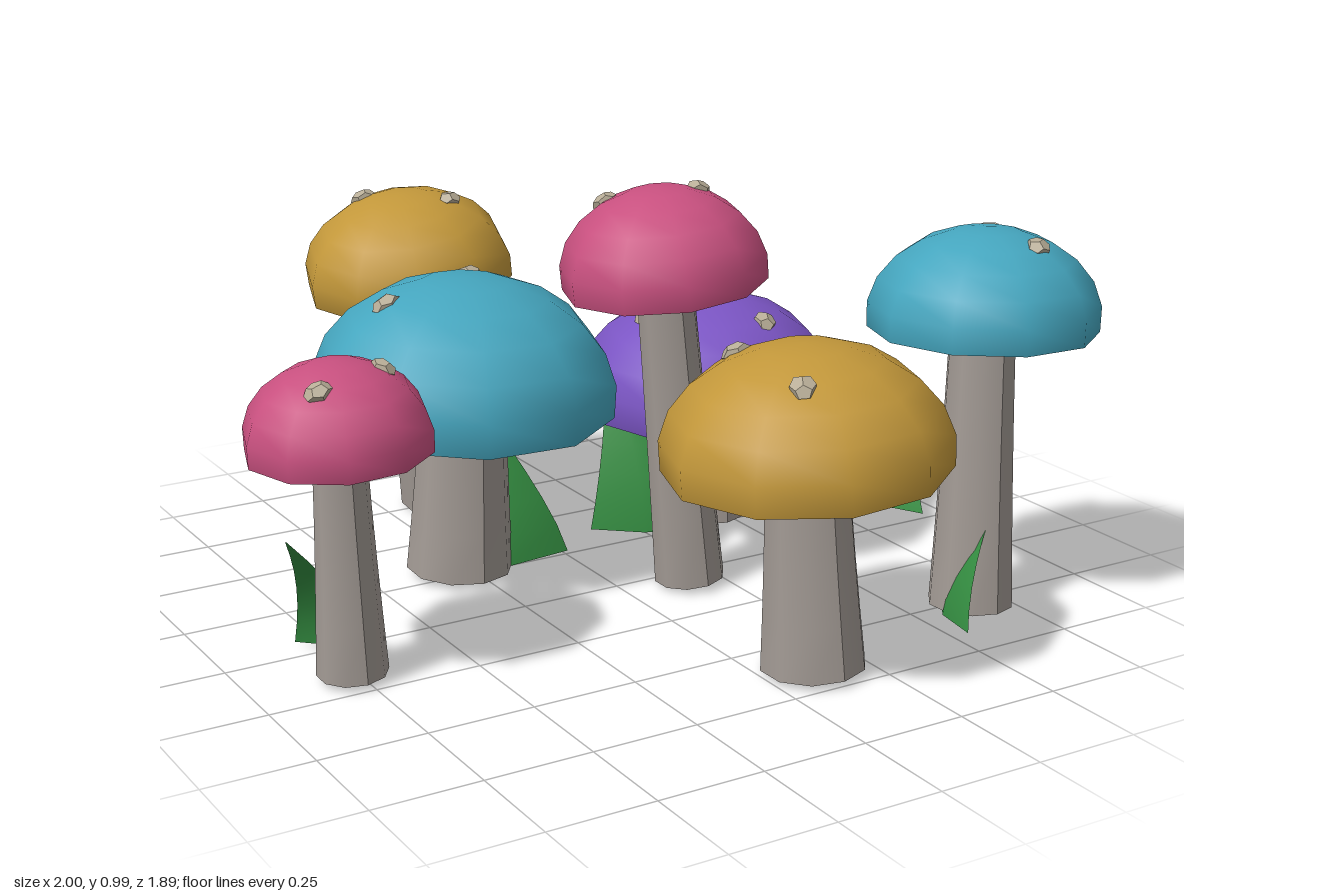
import * as THREE from 'three';

const UP = new THREE.Vector3(0, 1, 0);
const mat = (color, extra = {}) => new THREE.MeshStandardMaterial({ color, ...extra });
const both = { side: THREE.DoubleSide };
const pink = mat(0xc8507f, both), teal = mat(0x45a6bf, both);
const gold = mat(0xc2973a, both), purple = mat(0x7b55c4, both);
const stemMat = mat(0xa39b95);
const spotMat = mat(0xb8ad97, { flatShading: true });
const leafMat = mat(0x358f42, both);

function add(parent, name, geometry, material) {
  const mesh = new THREE.Mesh(geometry, material);
  mesh.name = name;
  parent.add(mesh);
  return mesh;
}

// Stem that flares towards the ground
function stemGeometry(rTop, rBase, height) {
  const g = new THREE.CylinderGeometry(1, 1, height, 10, 5);
  g.translate(0, height / 2, 0);
  const p = g.attributes.position;
  for (let i = 0; i < p.count; i++) {
    const t = THREE.MathUtils.clamp(p.getY(i) / height, 0, 1);
    const r = rTop + (rBase - rTop) * Math.pow(1 - t, 1.5);
    p.setX(i, p.getX(i) * r);
    p.setZ(i, p.getZ(i) * r);
  }
  g.computeVertexNormals();
  return g;
}

// base: [x, z] on the ground, cap: [x, z], top: highest point, r and h: cap radius and dome height
function mushroom({ base, cap, top, r, h, rTop, rBase, color, spots }) {
  const group = new THREE.Group();
  group.name = 'mushroom';
  const foot = new THREE.Vector3(base[0], 0.015, base[1]);
  const axis = new THREE.Vector3(cap[0], top - h, cap[1]).sub(foot);
  const length = axis.length();
  group.position.copy(foot);
  group.quaternion.setFromUnitVectors(UP, axis.normalize());

  add(group, 'stem', stemGeometry(rTop, rBase, length + h * 0.5), stemMat);

  // Hollow dome with a slightly tucked-in rim
  const dome = new THREE.SphereGeometry(1, 10, 6, 0, Math.PI * 2, 0, Math.PI * 0.55);
  dome.scale(r, h, r);
  add(group, 'cap', dome, color).position.y = length;

  // Flat pebble-like spots lying on the dome
  spots.forEach(([sx, sz], i) => {
    const x = sx - cap[0], z = sz - cap[1];
    const y = h * Math.sqrt(Math.max(0, 1 - (x * x + z * z) / (r * r)));
    const size = 0.024 + r * 0.035;
    const spot = add(group, 'spot', new THREE.DodecahedronGeometry(size), spotMat);
    spot.scale.set(1, 0.6, 0.85);
    spot.position.set(x * 0.98, length + y * 0.98, z * 0.98);
    const normal = new THREE.Vector3(x / (r * r), y / (h * h), z / (r * r)).normalize();
    spot.quaternion.setFromUnitVectors(UP, normal);
    spot.rotateY(i * 1.3 + r * 9);
  });
  return group;
}

// Creased blade: two ground corners [x, z] and a tip [x, y, z] that it curls towards
function leafGeometry(a, b, tip) {
  const rows = 6, pos = [], index = [];
  const mx = (a[0] + b[0]) / 2, mz = (a[1] + b[1]) / 2;
  const lx = tip[0] - mx, lz = tip[2] - mz, lean = Math.hypot(lx, lz);
  const hx = (b[0] - a[0]) / 2, hz = (b[1] - a[1]) / 2;
  const fold = Math.hypot(hx, hz) * 0.25;
  for (let i = 0; i <= rows; i++) {
    const t = i / rows, w = 1 - 0.98 * Math.pow(t, 1.15), c = Math.pow(t, 1.7);
    for (let k = -1; k <= 1; k++) {
      const crease = k === 0 ? -fold * w / lean : 0;
      pos.push(mx + lx * (c + crease) + hx * w * k,
        0.01 + (tip[1] - 0.01) * t,
        mz + lz * (c + crease) + hz * w * k);
    }
    if (i === rows) break;
    for (let k = 0; k < 2; k++) {
      const n = i * 3 + k;
      index.push(n, n + 1, n + 4, n, n + 4, n + 3);
    }
  }
  const g = new THREE.BufferGeometry();
  g.setAttribute('position', new THREE.Float32BufferAttribute(pos, 3));
  g.setIndex(index);
  g.computeVertexNormals();
  return g;
}

export function createModel() {
  const model = new THREE.Group();
  model.name = 'mushroomCluster';

  const mushrooms = [
    { base: [-0.77, 0.17], cap: [-0.79, 0.185], top: 0.73, r: 0.207, h: 0.173, rTop: 0.056, rBase: 0.08,
      color: pink, spots: [[-0.69, 0.215], [-0.865, 0.27]] },
    { base: [-0.28, -0.28], cap: [-0.27, -0.26], top: 0.745, r: 0.368, h: 0.28, rTop: 0.1, rBase: 0.13,
      color: teal, spots: [[-0.47, -0.28], [-0.175, -0.43]] },
    { base: [-0.1, -0.755], cap: [-0.2, -0.695], top: 0.86, r: 0.265, h: 0.2, rTop: 0.075, rBase: 0.1,
      color: gold, spots: [[-0.25, -0.81], [-0.085, -0.64]] },
    { base: [0.45, -0.31], cap: [0.445, -0.3], top: 0.6, r: 0.333, h: 0.247, rTop: 0.085, rBase: 0.11,
      color: purple, spots: [[0.275, -0.32], [0.51, -0.135]] },
    { base: [0.165, 0.065], cap: [0.09, 0.06], top: 0.98, r: 0.243, h: 0.2, rTop: 0.067, rBase: 0.085,
      color: pink, spots: [[0.01, -0.05], [0.2, 0.065]] },
    { base: [0.118, 0.645], cap: [0.092, 0.638], top: 0.75, r: 0.32, h: 0.242, rTop: 0.09, rBase: 0.12,
      color: gold, spots: [[0.015, 0.49], [-0.01, 0.78]] },
    { base: [0.643, 0.54], cap: [0.655, 0.525], top: 0.91, r: 0.266, h: 0.205, rTop: 0.075, rBase: 0.1,
      color: teal, spots: [[0.755, 0.415], [0.7, 0.65]] },
  ];
  mushrooms.forEach((m) => model.add(mushroom(m)));

  const leaves = [
    [[0.85, -0.295], [0.925, 0], [1.0, 0.29, -0.17]],
    [[-0.81, -0.055], [-0.7, 0.12], [-0.9, 0.33, 0.14]],
    [[0.157, 0.51], [0.345, 0.285], [0.36, 0.4, 0.52]],
    [[0.125, -0.34], [0.335, -0.22], [0.22, 0.44, -0.42]],
    [[-0.37, -0.29], [0, -0.24], [-0.2, 0.43, -0.42]],
    [[0.525, 0.68], [0.62, 0.46], [0.67, 0.3, 0.59]],
  ];
  leaves.forEach(([a, b, tip]) => add(model, 'leaf', leafGeometry(a, b, tip), leafMat));

  return model;
}
